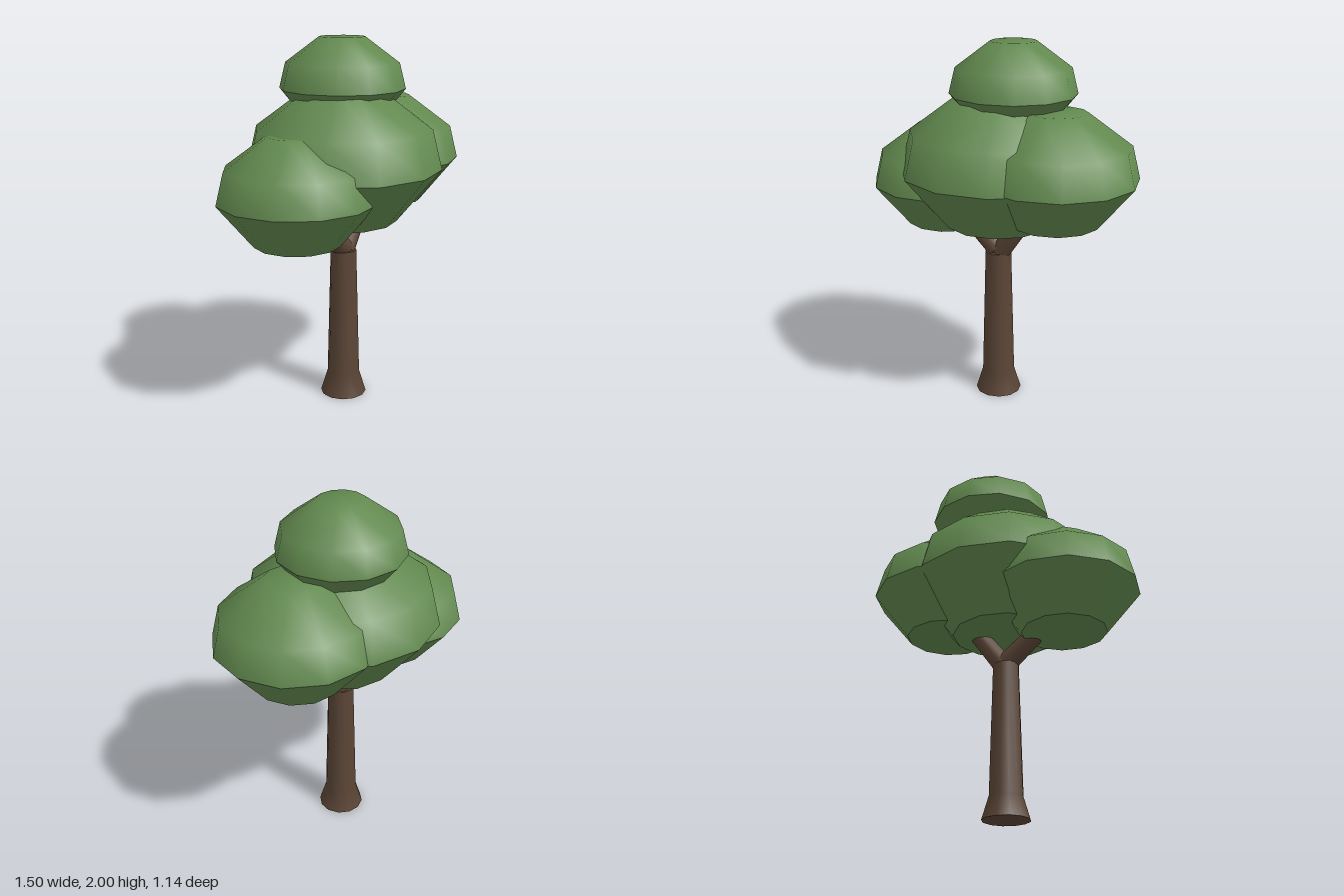
import * as THREE from 'three';
import { mergeGeometries } from 'three/addons/utils/BufferGeometryUtils.js';

const SIDES = 12;

const lathe = (points) =>
  new THREE.LatheGeometry(points.map(([r, y]) => new THREE.Vector2(r, y)), SIDES);

// Foliage clump of radius 1: separate bands keep the rim and the underside edge sharp.
function clumpGeometry() {
  return mergeGeometries([
    lathe([[0, -0.55], [0.55, -0.55]]),
    lathe([[0.55, -0.55], [1, 0]]),
    lathe([[1, 0], [0.9, 0.4], [0.36, 0.8], [0, 0.8]]),
  ]);
}

// Tapered cylinder between two points.
function limb(from, to, r0, r1, material) {
  const a = new THREE.Vector3(...from);
  const b = new THREE.Vector3(...to);
  const dir = b.clone().sub(a);
  const mesh = new THREE.Mesh(new THREE.CylinderGeometry(r1, r0, dir.length(), SIDES), material);
  mesh.position.copy(a).add(b).multiplyScalar(0.5);
  mesh.quaternion.setFromUnitVectors(new THREE.Vector3(0, 1, 0), dir.normalize());
  return mesh;
}

export function createModel() {
  const tree = new THREE.Group();
  tree.name = 'tree';

  const bark = new THREE.MeshStandardMaterial({ color: 0x5b4536 });
  bark.name = 'bark brown';
  const leaf = new THREE.MeshStandardMaterial({ color: 0x62894f });
  leaf.name = 'leaf green';

  // Trunk with flared foot and flat ends
  const trunk = new THREE.Mesh(mergeGeometries([
    lathe([[0, 0], [0.128, 0]]),
    lathe([[0.128, 0], [0.09, 0.125], [0.071, 0.85]]),
    lathe([[0.071, 0.85], [0, 0.85]]),
  ]), bark);
  trunk.name = 'trunk';
  trunk.position.set(0, 0, 0.025);
  tree.add(trunk);

  // Two branches forking into the crown
  const rightBranch = limb([0, 0.86, 0.025], [-0.25, 1.09, 0.15], 0.058, 0.048, bark);
  rightBranch.name = 'rightBranch';
  const leftBranch = limb([0.01, 0.85, 0.02], [0.19, 1.13, -0.08], 0.056, 0.046, bark);
  leftBranch.name = 'leftBranch';
  tree.add(rightBranch, leftBranch);

  // Crown: name, rim centre, radius, turn
  const clump = clumpGeometry();
  const clumps = [
    ['middleFoliage', [0, 1.317, 0.022], 0.531, -0.113],
    ['leftFoliage', [0.315, 1.322, -0.135], 0.435, -0.01],
    ['rightFoliage', [-0.335, 1.195, 0.155], 0.42, -0.155],
    ['topFoliage', [0.03, 1.728, -0.05], 0.34, -0.03],
  ];
  for (const [name, centre, radius, turn] of clumps) {
    const mesh = new THREE.Mesh(clump, leaf);
    mesh.name = name;
    mesh.position.set(...centre);
    mesh.scale.setScalar(radius);
    mesh.rotation.y = turn;
    tree.add(mesh);
  }

  return tree;
}
